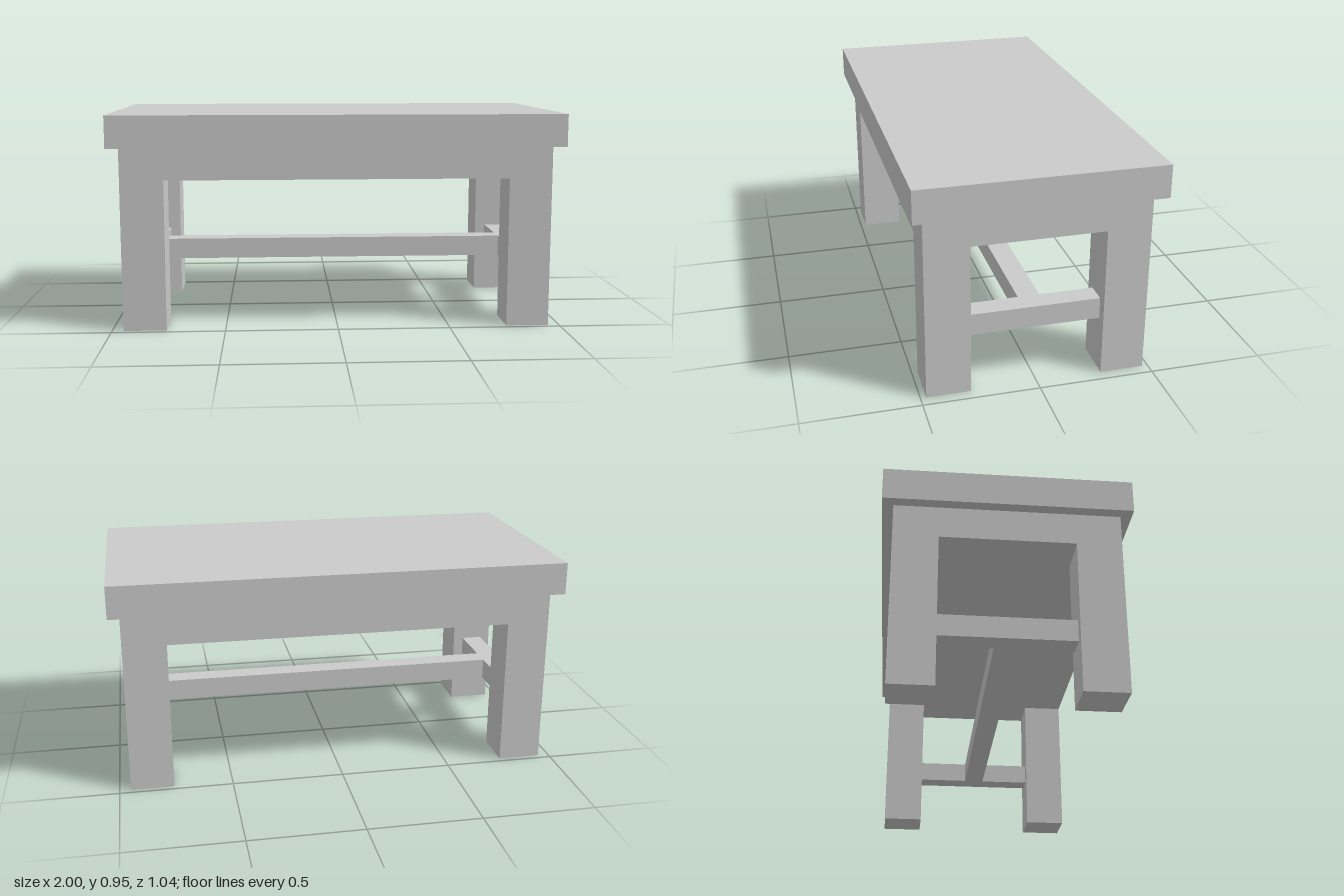
import * as THREE from 'three';

export function createModel() {
  const group = new THREE.Group();
  const material = new THREE.MeshStandardMaterial({ color: 0xcccccc, flatShading: true });

  // Box spanning y0..y1, centred on (x, z)
  const addBox = (name, width, depth, y0, y1, x = 0, z = 0) => {
    const mesh = new THREE.Mesh(new THREE.BoxGeometry(width, y1 - y0, depth), material);
    mesh.name = name;
    mesh.position.set(x, (y0 + y1) / 2, z);
    group.add(mesh);
  };

  const top = 0.953, topUnder = 0.81, apronUnder = 0.668;
  const leg = 0.19, legX = 0.855, legZ = 0.38;
  const bar = 0.095, barLow = 0.24, barHigh = 0.335;

  // Overhanging top and the solid apron block beneath it
  addBox('tableTop', 2, 1.045, topUnder, top);
  addBox('apron', 2 * legX + leg, 2 * legZ + leg, apronUnder, topUnder);

  // Square legs, flush with the apron corners, and the end stretchers between them
  for (const [sideName, sx] of [['left', 1], ['right', -1]]) {
    for (const [endName, sz] of [['Front', 1], ['Back', -1]]) {
      addBox(`${sideName}${endName}Leg`, leg, leg, 0, apronUnder, sx * legX, sz * legZ);
    }
    addBox(`${sideName}Stretcher`, bar, 2 * legZ - leg, barLow, barHigh, sx * legX);
  }

  // Long stretcher joining the two end stretchers
  addBox('longStretcher', 2 * legX - bar, bar, barLow, barHigh);

  return group;
}
